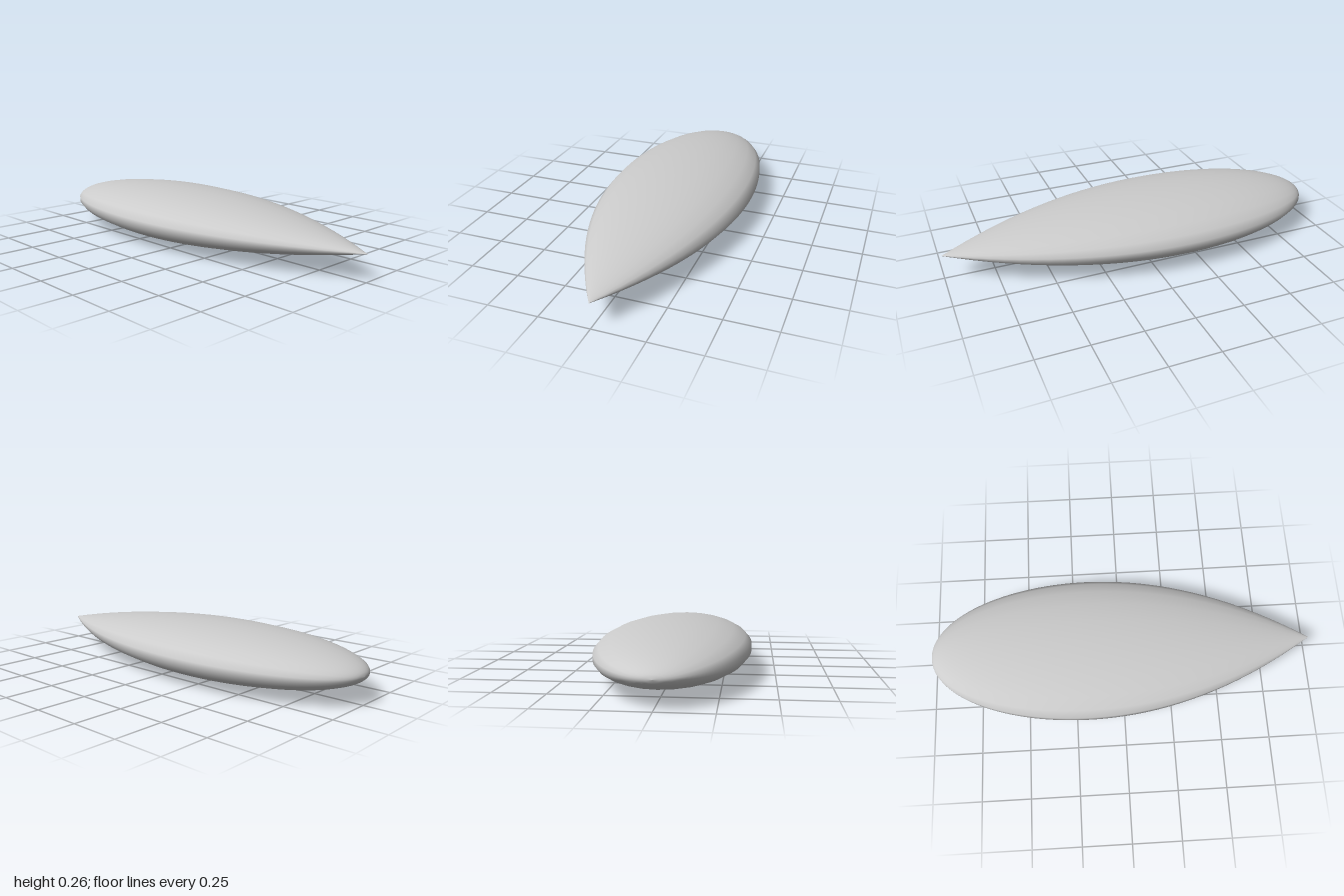
import * as THREE from 'three';

const HALF_WIDTH = 0.385, HALF_HEIGHT = 0.129, WIDEST_X = -0.18;

// Half width along the length: elliptical nose, parabolic taper to a sharp tip
function halfWidth(x) {
  if (x < WIDEST_X) {
    const s = (WIDEST_X - x) / (1 + WIDEST_X);
    return HALF_WIDTH * Math.sqrt(Math.max(0, 1 - s * s));
  }
  const s = (x - WIDEST_X) / (1 - WIDEST_X);
  return HALF_WIDTH * (1 - s * s);
}

export function createModel() {
  const group = new THREE.Group();
  group.name = 'teardrop';

  // Profile, with stations packed closer towards the round nose
  const profile = [];
  const steps = 48;
  for (let i = 0; i <= steps; i++) {
    const x = -1 + 2 * Math.pow(i / steps, 1.7);
    profile.push(new THREE.Vector2(halfWidth(x), x));
  }

  // Turned body laid along x and flattened vertically
  const geometry = new THREE.LatheGeometry(profile, 22, Math.PI / 2);
  geometry.rotateZ(-Math.PI / 2);
  geometry.scale(1, HALF_HEIGHT / HALF_WIDTH, 1);
  geometry.translate(0, HALF_HEIGHT, 0);

  const body = new THREE.Mesh(geometry, new THREE.MeshStandardMaterial({ color: 0xcccccc }));
  body.name = 'body';
  group.add(body);
  return group;
}
